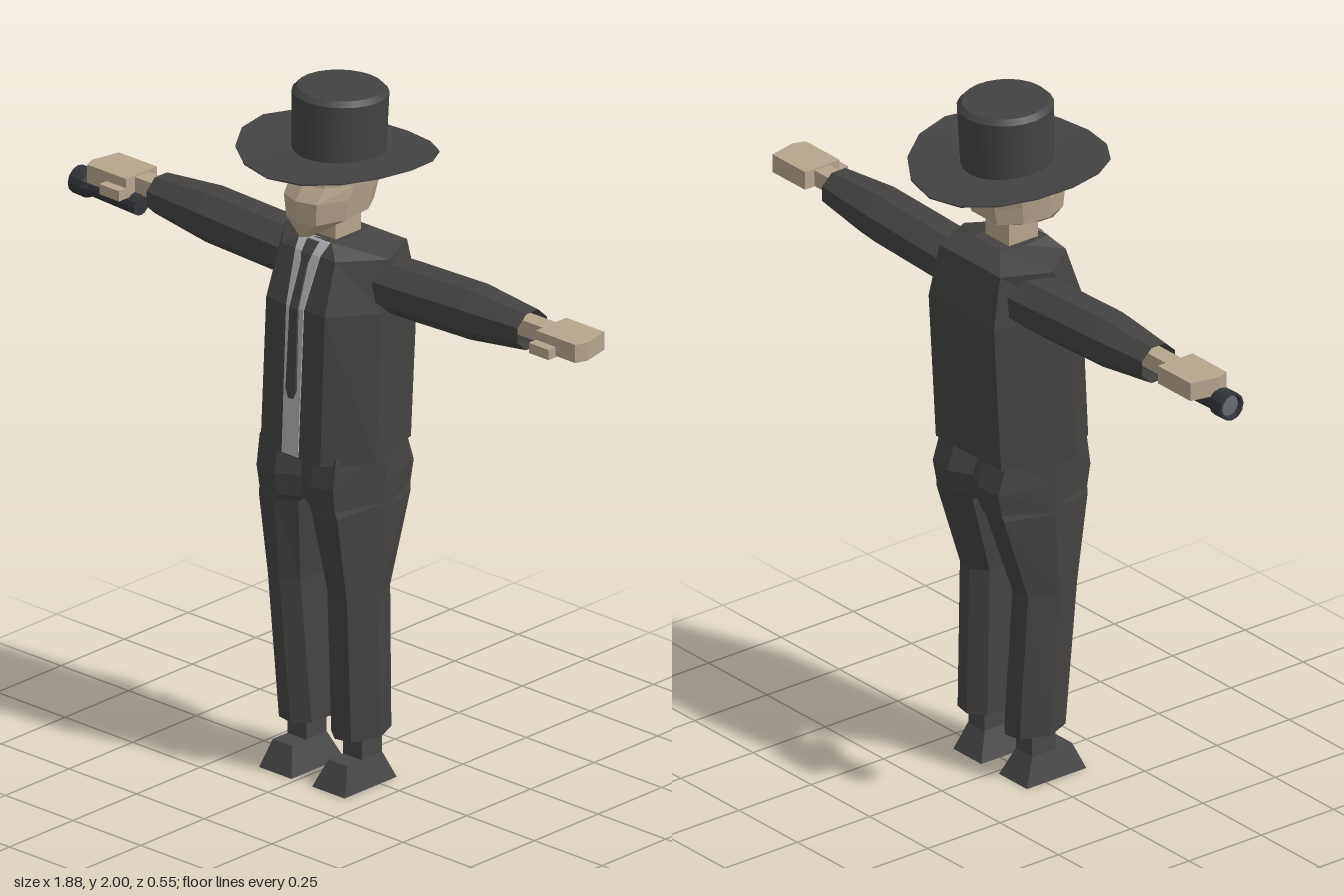
import * as THREE from 'three';

const flat = (color, side = THREE.FrontSide) =>
  new THREE.MeshStandardMaterial({ color, flatShading: true, side });
const suit = flat(0x444342, THREE.DoubleSide);
const hatCloth = flat(0x444343);
const skin = flat(0xb5a58c);
const shirtCloth = flat(0xb0b3b5);
const shoeLeather = flat(0x484848);
const metal = flat(0x33363a);
const glass = flat(0x666c70);

function add(parent, name, geometry, material) {
  const mesh = new THREE.Mesh(geometry, material);
  mesh.name = name;
  parent.add(mesh);
  return mesh;
}

// Skin a list of equal-length rings of [x, y, z]; winding is fixed by signed volume
function loft(rings, capEnd = true) {
  const n = rings[0].length;
  const tris = [];
  for (let r = 0; r < rings.length - 1; r++) {
    for (let i = 0; i < n; i++) {
      const j = (i + 1) % n;
      const [a, b, c, d] = [rings[r][i], rings[r][j], rings[r + 1][j], rings[r + 1][i]];
      tris.push([a, b, c], [a, c, d]);
    }
  }
  const cap = (ring, flip) => {
    const mid = [0, 1, 2].map((k) => ring.reduce((s, p) => s + p[k], 0) / n);
    ring.forEach((p, i) => {
      const q = ring[(i + 1) % n];
      tris.push(flip ? [mid, q, p] : [mid, p, q]);
    });
  };
  cap(rings[0], true);
  if (capEnd) cap(rings[rings.length - 1], false);
  const origin = new THREE.Vector3(...rings[0][0]);
  let volume = 0;
  for (const t of tris) {
    const [a, b, c] = t.map((p) => new THREE.Vector3(...p).sub(origin));
    volume += a.dot(b.cross(c));
  }
  if (volume < 0) tris.forEach((t) => t.reverse());
  const geometry = new THREE.BufferGeometry();
  geometry.setAttribute('position', new THREE.Float32BufferAttribute(tris.flat(2), 3));
  geometry.computeVertexNormals();
  return geometry;
}

function box(x0, x1, y0, y1, z0, z1) {
  return new THREE.BoxGeometry(Math.abs(x1 - x0), y1 - y0, z1 - z0)
    .translate((x0 + x1) / 2, (y0 + y1) / 2, (z0 + z1) / 2);
}

const rect = (x0, x1, y, z0, z1) => [[x0, y, z0], [x1, y, z0], [x1, y, z1], [x0, y, z1]];

// Jacket sections: height, half width, front z, back z, ridge z, front and back half widths
const jacketRows = [
  [0.97, 0.21, 0.185, -0.14, 0.07, 0.11, 0.14],
  [1.4, 0.2, 0.165, -0.165, 0.04, 0.108, 0.14],
  [1.545, 0.193, 0.115, -0.135, 0.0, 0.1, 0.13],
  [1.58, 0.075, 0.085, -0.075, 0.0, 0.058, 0.055],
];

function jacketFront(y) {
  for (let i = 1; i < jacketRows.length; i++) {
    const [a, b] = [jacketRows[i - 1], jacketRows[i]];
    if (y <= b[0]) return a[2] + ((b[2] - a[2]) * (y - a[0])) / (b[0] - a[0]);
  }
  return 0.085;
}

// Strip of cloth following the jacket front; rows of [height, half width]
const frontStrip = (rows, lift) => loft(rows.map(([y, w]) =>
  rect(-w, w, y, jacketFront(y) - 0.01, jacketFront(y) + lift)));

function buildTorso(g) {
  add(g, 'jacket', loft(jacketRows.map(([y, w, zf, zb, zm, wf, wb]) => [
    [w, y, zm], [wf, y, zf], [-wf, y, zf], [-w, y, zm], [-wb, y, zb], [wb, y, zb],
  ])), suit);
  add(g, 'shirt', frontStrip([[0.975, 0.03], [1.4, 0.032], [1.545, 0.045], [1.58, 0.055]], 0.003), shirtCloth);
  add(g, 'tie', frontStrip([[1.14, 0.008], [1.165, 0.018], [1.4, 0.014], [1.52, 0.011],
    [1.545, 0.017], [1.575, 0.02]], 0.009), suit);
  add(g, 'neck', box(-0.05, 0.05, 1.55, 1.66, -0.04, 0.06), skin);
}

function buildHead(g) {
  // Front height, back height, half width, front z, back z
  const rows = [
    [1.6, 1.632, 0.035, 0.148, -0.04],
    [1.645, 1.66, 0.092, 0.16, -0.085],
    [1.71, 1.71, 0.1, 0.165, -0.098],
    [1.75, 1.75, 0.106, 0.135, -0.104],
    [1.81, 1.81, 0.108, 0.12, -0.108],
  ];
  add(g, 'head', loft(rows.map(([yf, yb, w, zf, zb]) =>
    [[0, 1], [0.6, 0.93], [1, 0.62], [1, 0.25], [0.6, 0], [-0.6, 0], [-1, 0.25], [-1, 0.62], [-0.6, 0.93]]
      .map(([u, t]) => [u * w, yb + (yf - yb) * t, zb + (zf - zb) * t]))), skin);
}

function buildHat(g) {
  const hat = new THREE.Group();
  hat.name = 'hat';
  g.add(hat);
  // Brim dips front to back and curls up at the sides
  const profile = [[0, -0.008], [0.14, -0.006], [0.275, 0], [0.275, 0.004], [0.14, 0.02], [0, 0.022]];
  const brim = new THREE.LatheGeometry(profile.map((p) => new THREE.Vector2(...p)), 16);
  const pos = brim.attributes.position;
  for (let i = 0; i < pos.count; i++) {
    const [x, z] = [pos.getX(i), pos.getZ(i)];
    pos.setY(i, pos.getY(i) + 1.793 + 0.06 * z + 0.48 * x * x);
  }
  brim.computeVertexNormals();
  add(hat, 'brim', brim, hatCloth);
  // Doubled points keep the bevel edges sharp on the smooth crown
  const crownPoints = [[0.128, 0], [0.132, 0.182], [0.132, 0.182], [0.118, 0.196], [0.118, 0.196], [0, 0.196]];
  const crown = add(hat, 'crown',
    new THREE.LatheGeometry(crownPoints.map((p) => new THREE.Vector2(...p)), 24),
    new THREE.MeshStandardMaterial({ color: 0x444343 }));
  crown.position.set(0, 1.798, -0.005);
  crown.rotation.x = -0.04;
}

function buildArm(g, s) {
  const arm = new THREE.Group();
  arm.name = s > 0 ? 'leftArm' : 'rightArm';
  g.add(arm);
  // Sleeve sections: x, centre y, y radius, z radius
  const rows = [[0.12, 1.457, 0.07, 0.085], [0.25, 1.46, 0.073, 0.084],
    [0.49, 1.468, 0.073, 0.08], [0.686, 1.472, 0.053, 0.058]];
  add(arm, 'sleeve', loft(rows.map(([x, y, ry, rz]) => Array.from({ length: 8 }, (_, i) => {
    const a = ((i + 0.5) * Math.PI) / 4;
    return [s * x, y + 1.07 * ry * Math.sin(a), -0.036 + 1.07 * rz * Math.cos(a)];
  })), false), suit);
  add(arm, 'wrist', box(s * 0.6, s * 0.76, 1.458, 1.505, -0.062, -0.01), skin);
  const outline = [[0.757, -0.095], [0.897, -0.095], [0.915, -0.01], [0.902, 0.025], [0.757, 0.025]];
  add(arm, 'palm', loft([1.457, 1.51].map((y) => outline.map(([x, z]) => [s * x, y, z]))), skin);
  add(arm, 'thumb', box(s * 0.757, s * 0.83, 1.453, 1.483, 0, 0.053), skin);
}

function buildLeg(g, s) {
  const leg = new THREE.Group();
  leg.name = s > 0 ? 'leftLeg' : 'rightLeg';
  g.add(leg);
  // Trouser sections: height, inner x, outer x, front z, back z
  const rows = [
    [0.99, 0, 0.188, 0.165, -0.13],
    [0.9, 0, 0.188, 0.178, -0.16],
    [0.835, 0, 0.186, 0.168, -0.148],
    [0.815, 0.022, 0.186, 0.165, -0.143],
    [0.565, 0.05, 0.178, 0.128, -0.062],
    [0.14, 0.036, 0.166, 0.098, -0.08],
  ];
  add(leg, 'trouserLeg', loft(rows.map(([y, x0, x1, zf, zb]) => {
    const w = x1 - x0;
    const zm = (zf + zb) / 2;
    return [[x1, zm], [x0 + 0.75 * w, zf - 0.01], [x0 + 0.35 * w, zf], [x0, zf - 0.035],
      [x0, zb + 0.035], [x0 + 0.35 * w, zb], [x0 + 0.75 * w, zb + 0.01]].map(([x, z]) => [s * x, y, z]);
  }), false), suit);
  add(leg, 'ankle', box(s * 0.068, s * 0.137, 0.07, 0.2, -0.03, 0.05), shoeLeather);
  add(leg, 'shoe', loft([
    rect(s * 0.038, s * 0.158, 0, -0.065, 0.14),
    rect(s * 0.067, s * 0.138, 0.078, -0.03, 0.107),
  ]), shoeLeather);
}

function buildTorch(g) {
  const torch = new THREE.Group();
  torch.name = 'torch';
  g.add(torch);
  const profile = [[0, 0], [0.03, 0], [0.03, 0.17], [0.04, 0.188], [0.04, 0.235], [0.033, 0.235], [0.03, 0.222]];
  add(torch, 'torchBody', new THREE.LatheGeometry(profile.map((p) => new THREE.Vector2(...p)), 12), metal);
  add(torch, 'lens', new THREE.CircleGeometry(0.031, 12).rotateX(-Math.PI / 2).translate(0, 0.223, 0), glass);
  torch.position.set(-0.732, 1.431, -0.008);
  torch.rotation.z = Math.PI / 2 - 0.04;
}

export function createModel() {
  const model = new THREE.Group();
  model.name = 'figure';
  const body = new THREE.Group();
  body.name = 'body';
  body.position.x = 0.022;
  model.add(body);
  buildTorso(body);
  buildHead(body);
  buildHat(body);
  for (const s of [1, -1]) {
    buildArm(body, s);
    buildLeg(body, s);
  }
  buildTorch(body);
  return model;
}
